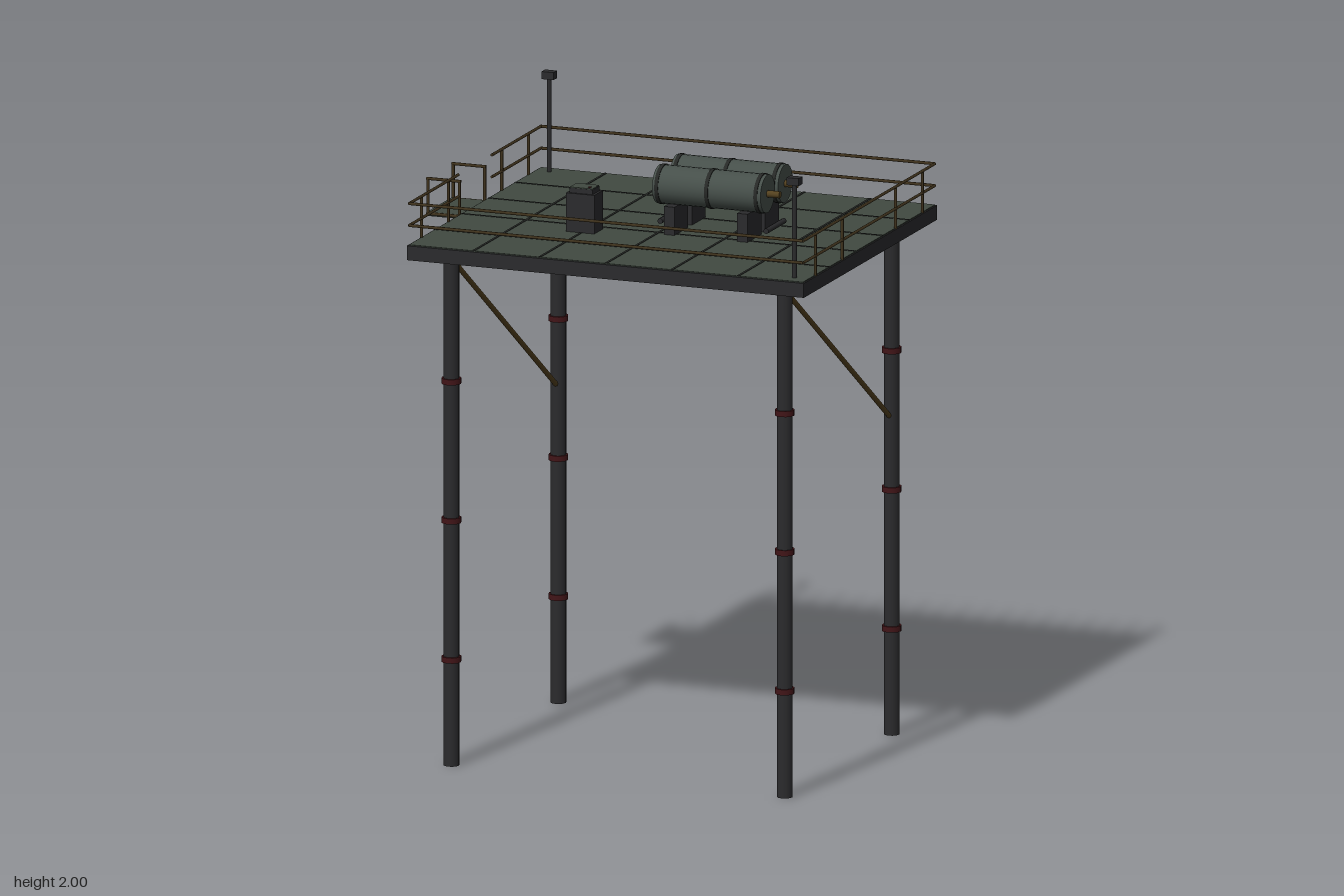
import * as THREE from 'three';

const mat = (name, color) => Object.assign(new THREE.MeshStandardMaterial({ color }), { name });

export function createModel() {
  const root = new THREE.Group();
  root.name = 'platform';
  const steel = mat('dark steel', 0x2b2b2d);
  const deckGreen = mat('deck green', 0x414a41);
  const seamGrey = mat('seam grey', 0x262826);
  const rust = mat('rusty brown', 0x55421f);
  const railBrown = mat('rail brown', 0x40331d);
  const tankGreen = mat('tank green', 0x464f4a);
  const red = mat('dark red', 0x421518);

  const add = (name, geometry, material, x, y, z) => {
    const mesh = new THREE.Mesh(geometry, material);
    mesh.name = name;
    mesh.position.set(x, y, z);
    root.add(mesh);
    return mesh;
  };
  const box = (name, m, w, h, d, x, y, z) => add(name, new THREE.BoxGeometry(w, h, d), m, x, y, z);
  // Round bar between two points
  const bar = (name, m, r, a, b, sides = 8) => {
    const p = new THREE.Vector3(...a), q = new THREE.Vector3(...b);
    const mid = p.clone().add(q).multiplyScalar(0.5);
    const mesh = add(name, new THREE.CylinderGeometry(r, r, p.distanceTo(q), sides), m, mid.x, mid.y, mid.z);
    mesh.quaternion.setFromUnitVectors(new THREE.Vector3(0, 1, 0), q.sub(p).normalize());
    return mesh;
  };

  // Deck slab, walking surface and plate seams
  const cx = 0.055, W = 1.33, D = 1.11, top = 1.68;
  box('deckSlab', steel, W, 0.046, D, cx, 1.653, 0);
  box('deckSurface', deckGreen, W - 0.01, 0.004, D - 0.01, cx, 1.677, 0);
  for (let i = 1; i < 6; i++) box('deckSeam', seamGrey, 0.008, 0.004, D - 0.01, cx - W / 2 + i * W / 6, 1.6785, 0);
  for (let i = 1; i < 5; i++) box('deckSeam', seamGrey, W - 0.01, 0.004, 0.008, cx, 1.6783, -D / 2 + i * D / 5);

  // Legs with red collars, and a diagonal brace on each side
  for (const x of [-0.505, 0.612]) {
    for (const z of [-0.445, 0.445]) {
      bar('leg', steel, 0.025, [x, 0, z], [x, 1.635, z], 12);
      for (const y of [0.34, 0.785, 1.23])
        add('legCollar', new THREE.CylinderGeometry(0.031, 0.031, 0.018, 12), red, x, y, z);
    }
    bar('brace', rust, 0.008, [x, 1.61, 0.43], [x, 1.015, -0.435]);
  }

  // Railings, with a gap at the landing
  const xl = cx - W / 2 + 0.005, xr = cx + W / 2 - 0.005, zr = 0.548, r = 0.005;
  for (const y of [1.74, 1.81]) {
    for (const z of [-zr, zr]) bar('longRail', railBrown, r, [xl, y, z], [xr, y, z], 6);
    bar('sideRail', railBrown, r, [xr, y, -zr], [xr, y, zr], 6);
    for (const s of [-1, 1]) bar('sideRail', railBrown, r, [xl, y, s * 0.14], [xl, y, s * zr], 6);
  }
  for (const x of [xl, xr])
    for (const z of [-0.445, -0.222, 0.222, 0.445])
      bar('railPost', railBrown, r, [x, top - 0.005, z], [x, 1.81, z], 6);

  // Side landing with two framed guards
  box('landing', deckGreen, 0.115, 0.012, 0.21, -0.6675, 1.666, 0);
  for (const z of [-0.105, 0.105]) {
    for (const x of [-0.72, -0.615]) bar('landingPost', railBrown, r, [x, 1.665, z], [x, 1.78, z], 6);
    for (const y of [1.668, 1.78]) bar('landingRail', railBrown, r, [-0.725, y, z], [-0.61, y, z], 6);
  }

  // Lamp masts in opposite corners
  for (const [x, z] of [[-0.56, -0.506], [0.668, 0.503]]) {
    bar('mast', steel, 0.008, [x, top - 0.005, z], [x, 1.98, z]);
    box('mastLamp', steel, 0.04, 0.024, 0.03, x, 1.988, z);
  }

  // Twin tanks with straps, nozzles and saddles
  for (const z of [-0.073, 0.073]) {
    const y = 1.826;
    bar('tank', tankGreen, 0.061, [0.042, y, z], [0.405, y, z], 24);
    for (const x of [0.056, 0.223, 0.388])
      bar('tankStrap', seamGrey, 0.0635, [x - 0.006, y, z], [x + 0.006, y, z], 24);
    bar('nozzle', rust, 0.011, [0.4, y, z], [0.447, y, z], 10);
    for (const x of [0.098, 0.343]) box('saddle', steel, 0.035, 0.09, 0.115, x, 1.724, z);
  }
  for (const x of [0.045, 0.4]) bar('linkPipe', steel, 0.009, [x, 1.706, -0.075], [x, 1.706, 0.075]);

  // Control cabinet
  box('cabinet', steel, 0.095, 0.125, 0.072, -0.17, 1.74, 0.17);
  box('cabinetLid', steel, 0.078, 0.016, 0.058, -0.17, 1.81, 0.17);
  box('cabinetLidPanel', deckGreen, 0.076, 0.003, 0.056, -0.17, 1.819, 0.17);
  box('cabinetButton', red, 0.008, 0.004, 0.008, -0.147, 1.821, 0.183);

  return root;
}
